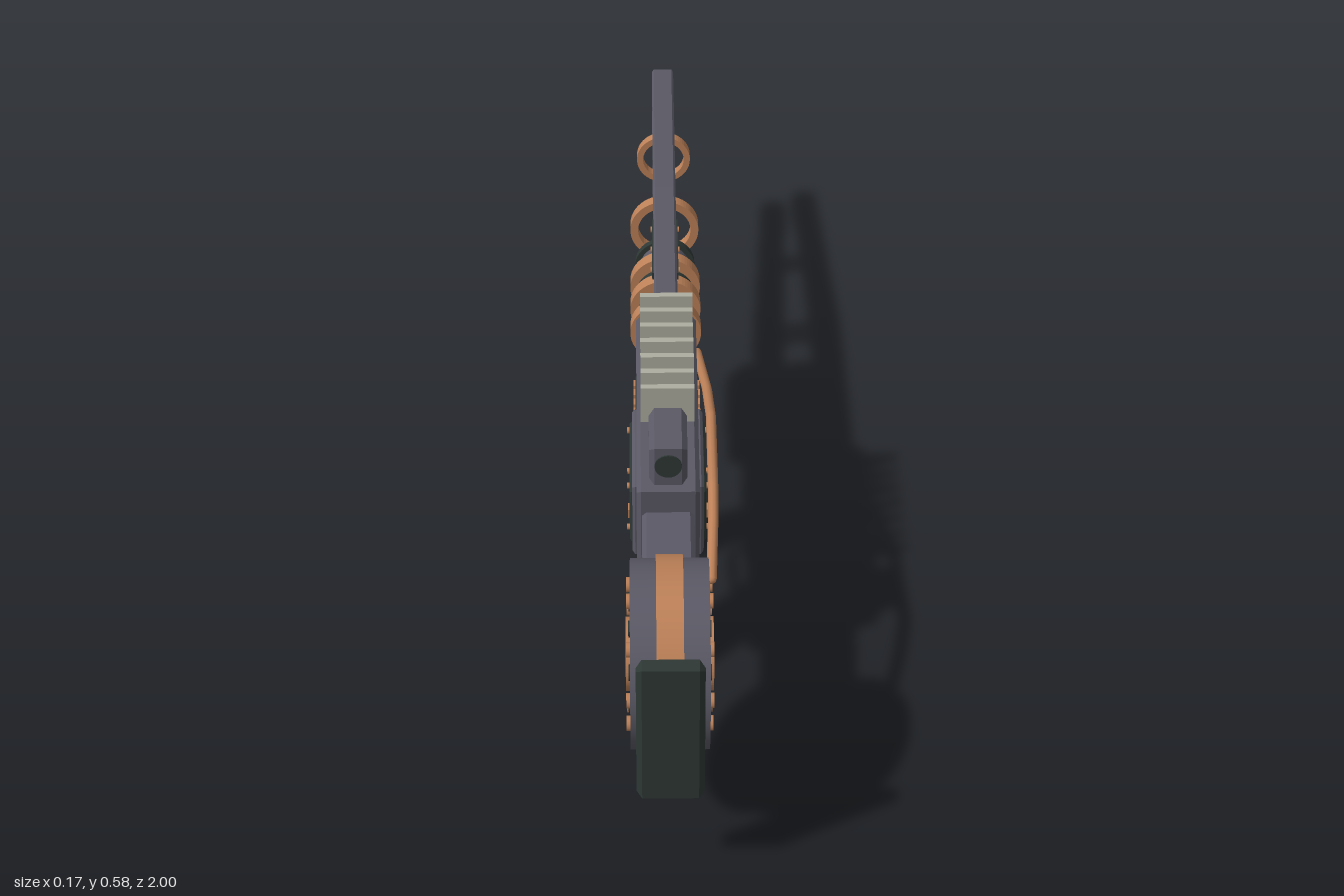
import * as THREE from 'three';

const mat = (name, color) => {
  const m = new THREE.MeshStandardMaterial({ color });
  m.name = name;
  return m;
};

export function createModel() {
  const steel = mat('gunmetal', 0x5a5965);
  const dark = mat('dark green', 0x2e3835);
  const copper = mat('copper', 0xbd8158);
  const glass = mat('pale cyan', 0x9ccbcd);
  const pale = mat('warm grey', 0xaeada0);

  const model = new THREE.Group();
  const root = new THREE.Group();
  root.name = 'blaster';
  root.position.x = -0.005;
  model.add(root);

  const add = (name, geo, material, x = 0, y = 0, z = 0) => {
    const mesh = new THREE.Mesh(geo, material);
    mesh.name = name;
    mesh.position.set(x, y, z);
    root.add(mesh);
    return mesh;
  };
  // side outline of [z, y] points, extruded symmetrically across x
  const slab = (name, pts, width, material, bevel = 0) => {
    const shape = new THREE.Shape(pts.map(([z, y]) => new THREE.Vector2(z, y)));
    const geo = new THREE.ExtrudeGeometry(shape, {
      depth: width - 2 * bevel, bevelEnabled: bevel > 0, bevelSize: bevel,
      bevelThickness: bevel, bevelOffset: -bevel, bevelSegments: 1,
    });
    geo.translate(0, 0, -(width - 2 * bevel) / 2).rotateY(-Math.PI / 2);
    return add(name, geo, material);
  };
  const block = (name, z0, z1, y0, y1, width, material, bevel = 0) =>
    slab(name, [[z0, y0], [z1, y0], [z1, y1], [z0, y1]], width, material, bevel);
  const box = (name, w, h, d, material, x, y, z) =>
    add(name, new THREE.BoxGeometry(w, h, d), material, x, y, z);
  const cyl = (axis, r, len, seg = 32) => {
    const geo = new THREE.CylinderGeometry(r, r, len, seg);
    if (axis === 'x') geo.rotateZ(Math.PI / 2);
    if (axis === 'z') geo.rotateX(Math.PI / 2);
    return geo;
  };
  // flat hollow band around an axis
  const band = (axis, outer, inner, len) => {
    const shape = new THREE.Shape().absarc(0, 0, outer, 0, Math.PI * 2);
    shape.holes.push(new THREE.Path().absarc(0, 0, inner, 0, Math.PI * 2, true));
    const geo = new THREE.ExtrudeGeometry(shape, { depth: len, bevelEnabled: false, curveSegments: 32 });
    geo.translate(0, 0, -len / 2);
    if (axis === 'x') geo.rotateY(Math.PI / 2);
    return geo;
  };
  const tube = (name, pts, r) => {
    const path = new THREE.CurvePath();
    const v = pts.map((p) => new THREE.Vector3(...p));
    for (let i = 1; i < v.length; i++) path.add(new THREE.LineCurve3(v[i - 1], v[i]));
    add(name, new THREE.TubeGeometry(path, 48, r, 10), copper);
    for (const end of [v[0], v[v.length - 1]]) add(name + 'End', new THREE.SphereGeometry(r, 10, 8), copper, ...end);
  };

  // butt plate and drum
  block('buttPlate', 0.97, 1.0, 0.2, 0.5, 0.12, dark, 0.01);
  box('buttMount', 0.06, 0.12, 0.04, steel, 0, 0.353, 0.955);
  const dy = 0.353, dz = 0.79;
  add('drum', cyl('x', 0.17, 0.14, 48), steel, 0, dy, dz);
  add('drumBand', cyl('x', 0.177, 0.048, 48), copper, 0, dy, dz);
  for (const s of [-1, 1]) {
    add('drumRing', band('x', 0.066, 0.05, 0.012), copper, s * 0.072, dy, dz);
    add('drumWindow', cyl('x', 0.051, 0.01), glass, s * 0.071, dy, dz);
    for (let i = 0; i < 8; i++) {
      const a = (i * Math.PI) / 4, b = a + Math.PI / 8;
      add('drumBolt', cyl('x', 0.014, 0.016, 12), copper, s * 0.069, dy + 0.123 * Math.sin(a), dz + 0.123 * Math.cos(a));
      add('drumPort', cyl('x', 0.015, 0.01, 12), dark, s * 0.068, dy + 0.1 * Math.sin(b), dz + 0.1 * Math.cos(b));
    }
  }

  // neck and receiver
  slab('neck', [[0.48, 0.3], [0.66, 0.29], [0.66, 0.43], [0.48, 0.44]], 0.096, steel, 0.008);
  slab('receiver', [[0.5, 0.283], [0.5, 0.487], [-0.04, 0.487], [-0.075, 0.45], [-0.075, 0.283]], 0.116, steel, 0.008);
  slab('panelFrame', [[0.475, 0.318], [0.475, 0.478], [0.245, 0.478], [0.2, 0.445], [0.2, 0.358], [0.245, 0.318]], 0.132, steel, 0.005);
  slab('panelPlate', [[0.455, 0.332], [0.455, 0.45], [0.44, 0.458], [0.255, 0.458], [0.238, 0.445], [0.238, 0.345], [0.255, 0.332]], 0.142, dark, 0.004);
  for (const s of [-1, 1]) {
    for (const z of [0.427, 0.262]) for (const y of [0.345, 0.443])
      add('panelBolt', cyl('x', 0.006, 0.01, 10), copper, s * 0.071, y, z);
    box('panelKey', 0.008, 0.02, 0.02, copper, s * 0.07, 0.38, 0.423);
    box('ventRecess', 0.006, 0.05, 0.15, dark, s * 0.057, 0.39, 0.133);
    for (let i = 0; i < 5; i++)
      box('ventSlat', 0.012, 0.042, 0.019, copper, s * 0.058, 0.39, 0.19 - i * 0.029);
  }

  // rear sight
  block('sight', 0.367, 0.488, 0.493, 0.577, 0.07, steel, 0.01);
  box('sightFoot', 0.05, 0.02, 0.09, steel, 0, 0.49, 0.43);
  add('sightLens', cyl('z', 0.025, 0.008, 24), dark, 0, 0.538, 0.487);

  // cooling fins
  box('finBase', 0.05, 0.022, 0.33, copper, 0, 0.495, 0.165);
  for (let i = 0; i < 7; i++) {
    const z = 0.312 - i * 0.048;
    box('coolingFin', 0.1, 0.078, 0.013, pale, 0, 0.546, z);
    box('finClamp', 0.066, 0.026, 0.024, steel, 0, 0.497, z);
  }

  // grip, trigger, guard
  slab('grip', [[0.395, 0.29], [0.28, 0.29], [0.372, 0.003], [0.468, 0.033]], 0.084, dark, 0.012);
  tube('triggerGuard', [[0, 0.285, 0.28], [0, 0.18, 0.28], [0, 0.18, 0.168], [0, 0.285, 0.168]], 0.007);
  slab('trigger', [[0.25, 0.285], [0.235, 0.285], [0.254, 0.23], [0.262, 0.235]], 0.016, copper);

  // vertical foregrip
  add('foregrip', cyl('y', 0.047, 0.21), steel, 0, 0.185, 0.09);
  add('foregripBand', cyl('y', 0.05, 0.042), glass, 0, 0.185, 0.09);
  add('foregripCap', cyl('y', 0.052, 0.03), copper, 0, 0.075, 0.09);

  // mirrored rails around the barrel axis
  const ay = 0.39;
  for (const s of [1, -1]) {
    const m = (pts) => pts.map(([z, y]) => [z, ay + s * y]);
    slab('rail', m([[-0.055, 0.112], [-0.48, 0.102], [-1, 0.056], [-1, 0.038], [-0.48, 0.066], [-0.055, 0.066]]), 0.046, steel, 0.004);
    slab('railSlot', m([[-0.19, 0.093], [-0.38, 0.09], [-0.38, 0.074], [-0.19, 0.077]]), 0.052, dark);
    for (const z of [-0.215, -0.285, -0.355])
      add('railPin', cyl('x', 0.006, 0.058, 10), copper, 0, ay + s * 0.083, z);
    slab('tipPad', m([[-0.87, 0.048], [-0.97, 0.043], [-0.97, 0.03], [-0.87, 0.036]]), 0.034, glass);
  }
  slab('lowerShroud', [[-0.085, 0.285], [-0.085, 0.25], [-0.105, 0.226], [-0.37, 0.226], [-0.395, 0.24], [-0.415, 0.285]], 0.088, dark, 0.01);

  // coil barrel
  add('barrelCore', cyl('z', 0.03, 0.29), glass, 0, ay, -0.21);
  for (const z of [-0.13, -0.207, -0.283]) add('coil', band('z', 0.07, 0.029, 0.028), copper, 0, ay, z);
  for (const z of [-0.168, -0.245]) add('coilSpacer', band('z', 0.058, 0.029, 0.014), dark, 0, ay, z);
  add('muzzleCollar', band('z', 0.05, 0.029, 0.03), steel, 0, ay, -0.342);
  add('muzzleRing', band('z', 0.06, 0.029, 0.014), dark, 0, ay, -0.352);
  add('largeFocusRing', band('z', 0.07, 0.054, 0.024), copper, 0, ay, -0.483);
  add('smallFocusRing', band('z', 0.056, 0.043, 0.02), copper, 0, ay, -0.742);

  // side hose
  tube('hose', [[0.075, 0.463, 0.715], [0.08, 0.5, 0.59], [0.081, 0.517, 0.51], [0.081, 0.505, 0.3], [0.076, 0.47, 0.17], [0.06, 0.417, -0.015]], 0.0095);

  return model;
}
